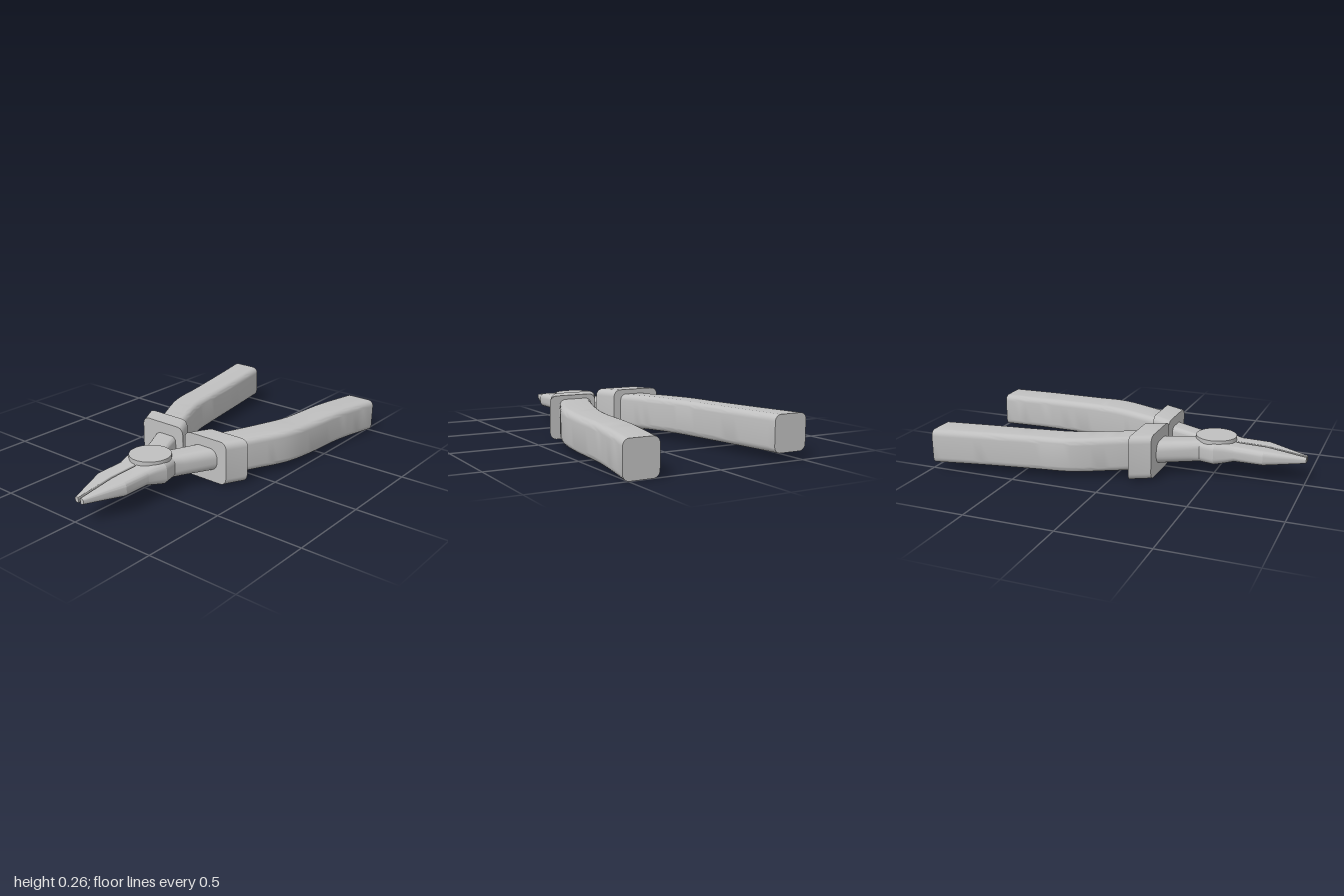
import * as THREE from 'three';
import { toCreasedNormals } from 'three/addons/utils/BufferGeometryUtils.js';

const STEPS = 6; // segments per rounded corner

// Rounded rectangle ring in a z plane; section = [z, x0, x1, y0, y1, radius at x0, radius at x1]
function ring([z, x0, x1, y0, y1, ra, rb]) {
  const pts = [];
  const corners = [
    [x1 - rb, y0 + rb, rb, -Math.PI / 2], [x1 - rb, y1 - rb, rb, 0],
    [x0 + ra, y1 - ra, ra, Math.PI / 2], [x0 + ra, y0 + ra, ra, Math.PI],
  ];
  for (const [cx, cy, r, start] of corners) {
    for (let i = 0; i <= STEPS; i++) {
      const a = start + (i / STEPS) * Math.PI / 2;
      pts.push([cx + r * Math.cos(a), cy + r * Math.sin(a), z]);
    }
  }
  return pts;
}

// Skin a list of sections ordered by rising z, with flat end caps
function loft(sections, crease) {
  const rings = sections.map(ring);
  const n = rings[0].length;
  const pos = [];
  const tri = (a, b, c) => pos.push(...a, ...b, ...c);
  for (let i = 0; i < rings.length - 1; i++) {
    for (let j = 0; j < n; j++) {
      const k = (j + 1) % n;
      tri(rings[i][j], rings[i][k], rings[i + 1][k]);
      tri(rings[i][j], rings[i + 1][k], rings[i + 1][j]);
    }
  }
  const first = rings[0], last = rings[rings.length - 1];
  for (let j = 1; j < n - 1; j++) {
    tri(first[0], first[j + 1], first[j]);
    tri(last[0], last[j], last[j + 1]);
  }
  const g = new THREE.BufferGeometry();
  g.setAttribute('position', new THREE.Float32BufferAttribute(pos, 3));
  return toCreasedNormals(g, crease);
}

// Resample sections along smooth curves
function smooth(sections, count) {
  const tracks = sections[0].map((_, c) =>
    new THREE.CatmullRomCurve3(sections.map((s, i) => new THREE.Vector3(i, s[c], 0)), false, 'catmullrom', 0.5));
  return Array.from({ length: count + 1 }, (_, i) => tracks.map((t) => t.getPoint(i / count).y));
}

export function createModel() {
  const model = new THREE.Group();
  const steel = new THREE.MeshStandardMaterial({ color: 0xc0c0c0 });
  steel.name = 'plain grey';
  const add = (name, geometry) => {
    const mesh = new THREE.Mesh(geometry, steel);
    mesh.name = name;
    model.add(mesh);
    return mesh;
  };

  // Curved grips
  const r = 0.035;
  add('rightHandle', loft(smooth([
    [-0.975, -0.535, -0.34, 0.045, 0.24, r, r],
    [-0.7, -0.48, -0.295, 0.045, 0.238, r, r],
    [-0.4, -0.425, -0.25, 0.043, 0.236, r, r],
    [-0.2, -0.39, -0.21, 0.043, 0.236, r, r],
    [0.0, -0.3, -0.125, 0.045, 0.238, r, r],
    [0.15, -0.22, -0.055, 0.045, 0.238, r, r],
  ], 30), 0.6));
  add('leftHandle', loft(smooth([
    [-1, 0.335, 0.53, 0.005, 0.2, r, r],
    [-0.7, 0.3, 0.495, 0.022, 0.215, r, r],
    [-0.4, 0.283, 0.475, 0.025, 0.222, r, r],
    [-0.2, 0.24, 0.45, 0.032, 0.23, r, r],
    [0.0, 0.17, 0.37, 0.037, 0.232, r, r],
    [0.15, 0.105, 0.3, 0.037, 0.232, r, r],
  ], 30), 0.6));

  // Slanted guards at the front of the grips
  add('rightGuard', loft([
    [0.11, -0.322, -0.03, 0.018, 0.265, 0.04, 0.04],
    [0.22, -0.265, 0.03, 0.018, 0.265, 0.04, 0.04],
  ], 0.6));
  add('leftGuard', loft([
    [0.1, 0.1, 0.385, 0.008, 0.255, 0.04, 0.04],
    [0.215, 0.04, 0.328, 0.008, 0.255, 0.04, 0.04],
  ], 0.6));

  // Arms running through the joint into the jaws, mirrored about the pivot:
  // [z, inner offset, outer offset, y0, y1, inner radius, outer radius]
  const axis = 0.042;
  const arm = [
    [0.16, 0.09, 0.25, 0.075, 0.2, 0.03, 0.05],
    [0.22, 0.065, 0.222, 0.075, 0.2, 0.03, 0.05],
    [0.38, 0, 0.14, 0.077, 0.198, 0.02, 0.045],
    [0.43, -0.005, 0.115, 0.078, 0.2, 0.01, 0.04],
    [0.515, -0.005, 0.135, 0.078, 0.203, 0.01, 0.04],
    [0.57, -0.003, 0.12, 0.09, 0.198, 0.006, 0.035],
    [0.62, 0.006, 0.105, 0.102, 0.188, 0.005, 0.03],
    [0.78, 0.006, 0.105, 0.102, 0.183, 0.005, 0.028],
    [1, 0.007, 0.029, 0.122, 0.152, 0.003, 0.01],
  ];
  add('leftArmAndJaw', loft(arm.map(([z, a, b, ...rest]) => [z, axis + a, axis + b, ...rest]), 0.3));
  add('rightArmAndJaw', loft(arm.map(([z, a, b, y0, y1, ra, rb]) => [z, axis - b, axis - a, y0, y1, rb, ra]), 0.3));

  // Pivot cap
  add('pivotCap', new THREE.CylinderGeometry(0.113, 0.113, 0.03, 48)).position.set(axis, 0.201, 0.495);

  return model;
}
